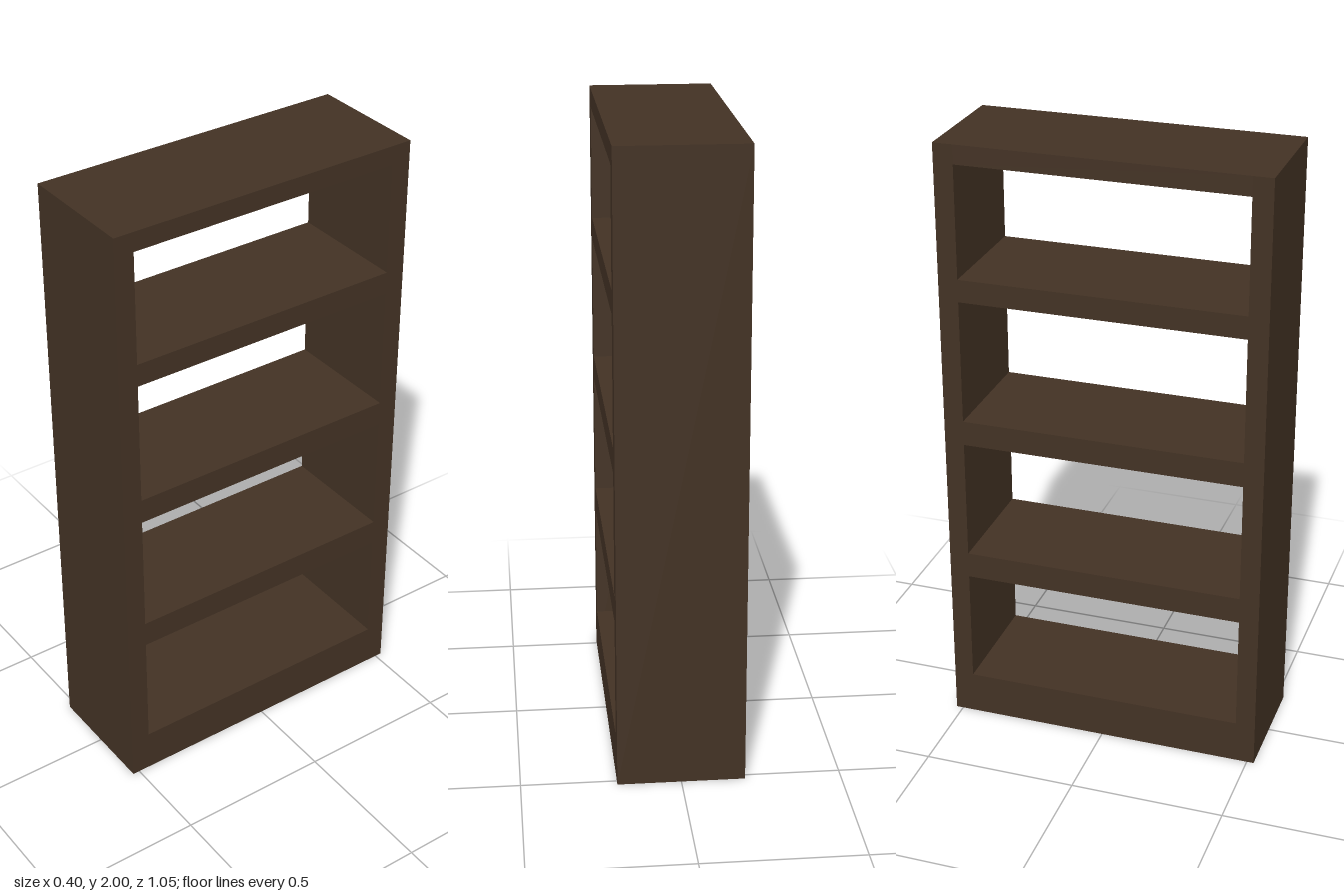
import * as THREE from 'three';

const DEPTH = 0.4;      // along x, open on both sides
const HALF = 0.523;     // half width along z
const INNER = 0.459;    // half width of the openings

export function createModel() {
  const group = new THREE.Group();
  group.name = 'openBookcase';
  const wood = new THREE.MeshStandardMaterial({ color: 0x433224 });

  function board(name, y0, y1, z0, z1) {
    const mesh = new THREE.Mesh(new THREE.BoxGeometry(DEPTH, y1 - y0, z1 - z0), wood);
    mesh.position.set(0, (y0 + y1) / 2, (z0 + z1) / 2);
    mesh.name = name;
    group.add(mesh);
  }

  // Full-height uprights
  board('frontUpright', 0, 2, INNER, HALF);
  board('backUpright', 0, 2, -HALF, -INNER);

  // Boards between the uprights, from plinth to top
  const levels = [
    ['plinth', 0, 0.142],
    ['lowerShelf', 0.525, 0.611],
    ['middleShelf', 1.008, 1.09],
    ['upperShelf', 1.497, 1.571],
    ['topBoard', 1.938, 2],
  ];
  for (const [name, y0, y1] of levels) board(name, y0, y1, -INNER, INNER);

  return group;
}
